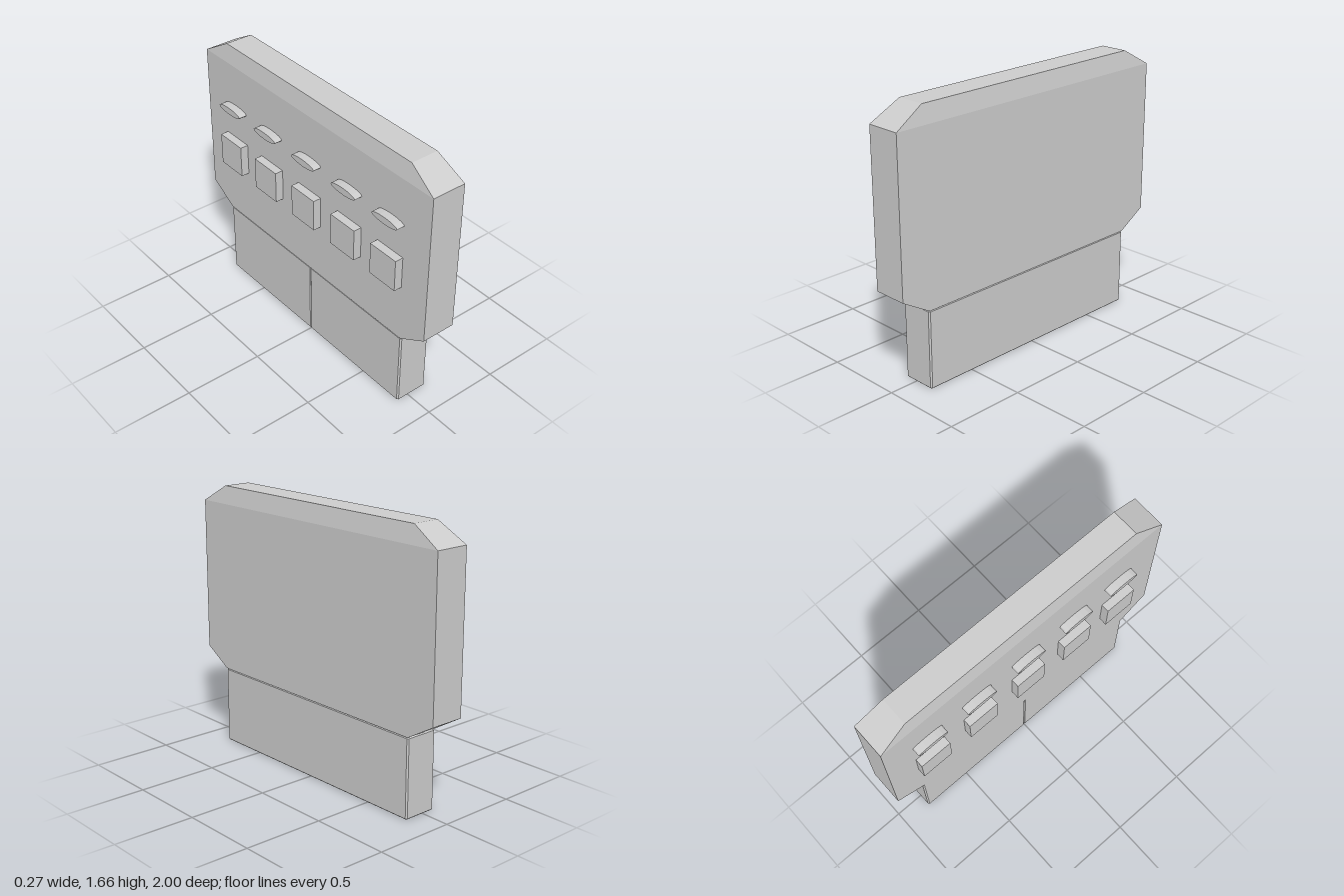
import * as THREE from 'three';

export function createModel() {
  const group = new THREE.Group();
  const material = new THREE.MeshStandardMaterial({ color: 0xcccccc, flatShading: true });

  const add = (name, geometry, x = 0, y = 0, z = 0) => {
    const mesh = new THREE.Mesh(geometry, material);
    mesh.name = name;
    mesh.position.set(x, y, z);
    group.add(mesh);
    return mesh;
  };

  // Upper slab: a box whose rows are moved to [y, xMin, xMax, halfDepth]
  const rows = [
    [0.49, -0.084, 0.133, 0.815],
    [0.6, -0.084, 0.133, 1],
    [1.555, -0.084, 0.133, 1],
    [1.665, -0.064, 0.112, 0.81],
  ];
  const indexed = new THREE.BoxGeometry(1, 3, 1, 1, 3, 1);
  const pos = indexed.attributes.position;
  for (let i = 0; i < pos.count; i++) {
    const [y, xMin, xMax, depth] = rows[Math.round(pos.getY(i) + 1.5)];
    pos.setXYZ(i, pos.getX(i) < 0 ? xMin : xMax, y, Math.sign(pos.getZ(i)) * depth);
  }
  const slab = indexed.toNonIndexed();
  slab.computeVertexNormals();
  add('upperSlab', slab);

  // Lower block: fine bevel round the foot and a narrow seam down the button side
  const b = 0.006, x0 = -0.082 + b, x1 = 0.132 - b, d = 0.817 - b, c = 0.005;
  const plan = new THREE.Shape([
    [x0 + c, -d], [x1 - c, -d], [x1, -d + c], [x1, d - c], [x1 - c, d], [x0 + c, d],
    [x0, d - c], [x0, 0.008], [x0 + 0.006, 0], [x0, -0.008], [x0, -d + c],
  ].map(([x, y]) => new THREE.Vector2(x, y)));
  const block = new THREE.ExtrudeGeometry(plan, {
    depth: 0.488 - 2 * b, bevelEnabled: true, bevelSize: b, bevelThickness: b, bevelSegments: 1,
  });
  block.rotateX(-Math.PI / 2).translate(0, b, 0);
  add('lowerBlock', block);

  // Row of square buttons with a flattened oval tab above each
  const button = new THREE.BoxGeometry(0.066, 0.204, 0.206);
  const tab = new THREE.CylinderGeometry(1, 1, 0.066, 16);
  tab.rotateZ(Math.PI / 2).scale(1, 0.022, 0.103);
  [-0.713, -0.362, -0.002, 0.355, 0.698].forEach((z, i) => {
    add(`button${i + 1}`, button, -0.103, 0.957, z);
    add(`ovalTab${i + 1}`, tab, -0.103, 1.27, z);
  });

  return group;
}
